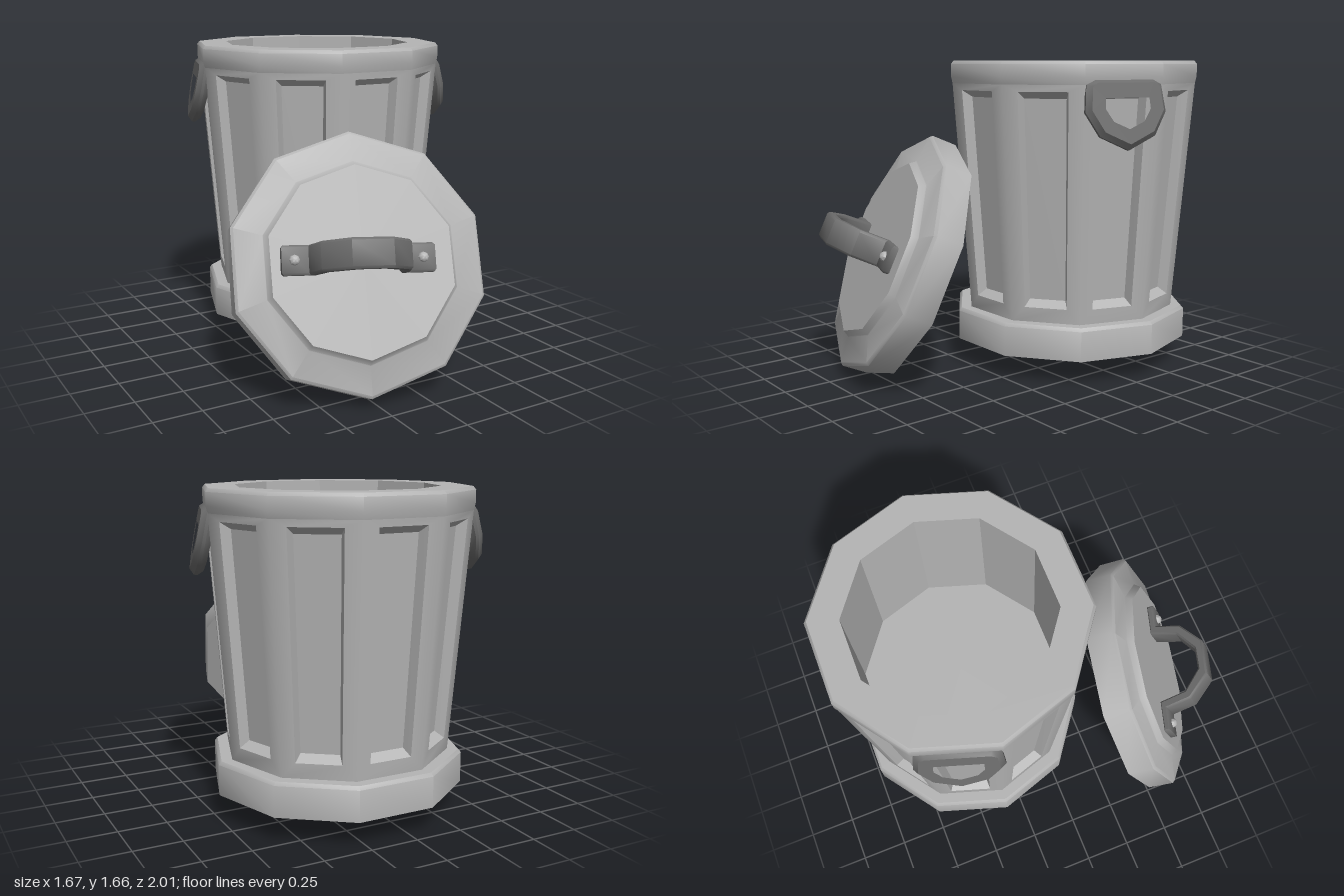
import * as THREE from 'three';
import { toCreasedNormals } from 'three/addons/utils/BufferGeometryUtils.js';

const SIDES = 10;
const SOFT = 0.7; // smooths across neighbouring sides, keeps real edges sharp
const FLAT = 0.1;
const metal = new THREE.MeshStandardMaterial({ color: 0xb4b4b4, side: THREE.DoubleSide });
metal.name = 'galvanised grey';
const dark = new THREE.MeshStandardMaterial({ color: 0x6c6c6c });
dark.name = 'dark handle grey';

const V2 = (p) => p.map(([x, y]) => new THREE.Vector2(x, y));

function add(parent, name, geometry, material, crease = SOFT) {
  const mesh = new THREE.Mesh(toCreasedNormals(geometry, crease), material);
  mesh.name = name;
  parent.add(mesh);
  return mesh;
}

// Ten-sided turned profile with a corner on the x axis
const turned = (pts) => new THREE.LatheGeometry(V2(pts), SIDES, Math.PI / SIDES);

// Tapered wall: every side has a sunken, bevelled panel
function wallGeometry(y0, y1) {
  const pos = [];
  const half = Math.PI / SIDES;
  const radius = (y) => 0.583 + (y - 0.31) * 0.0805;
  const quad = (a, b, c, d) => [a, b, c, a, c, d].forEach((p) => pos.push(...p));
  for (let i = 0; i < SIDES; i++) {
    const m = (2 * i + 1) * half;
    const point = (s, y, depth) => {
      const a = radius(y) * Math.cos(half) - depth;
      const w = radius(y) * Math.sin(half) * 2 * s;
      return [a * Math.cos(m) - w * Math.sin(m), y, a * Math.sin(m) + w * Math.cos(m)];
    };
    const rect = (s, lo, hi, d) => [point(-s, lo, d), point(-s, hi, d), point(s, hi, d), point(s, lo, d)];
    const loops = [rect(0.5, y0, y1, 0), rect(0.307, 0.39, 1.505, 0), rect(0.26, 0.425, 1.47, 0.05)];
    for (let k = 0; k < 2; k++) {
      for (let j = 0; j < 4; j++) {
        const n = (j + 1) % 4;
        quad(loops[k][j], loops[k][n], loops[k + 1][n], loops[k + 1][j]);
      }
    }
    quad(...loops[2]);
  }
  const g = new THREE.BufferGeometry();
  g.setAttribute('position', new THREE.Float32BufferAttribute(pos, 3));
  return g;
}

// Mirrors the right half of an outline, listed from top to bottom
function mirrored(pts) {
  const left = pts.filter(([x]) => x > 0).reverse().map(([x, y]) => [-x, y]);
  return V2([...pts, ...left]);
}

// D-shaped ring with a six-sided section, its middle at the origin
function ringHandleGeometry() {
  const shape = new THREE.Shape(mirrored([[0.16, 0.18], [0.205, 0.15], [0.22, 0.015], [0.15, -0.105], [0, -0.175]]));
  shape.holes.push(new THREE.Path(mirrored([[0.125, 0.105], [0.143, 0.09], [0.147, 0.02], [0.1, -0.055], [0, -0.1]])));
  const g = new THREE.ExtrudeGeometry(shape, {
    depth: 0.016, bevelThickness: 0.027, bevelSize: 0.024, bevelOffset: -0.024, bevelSegments: 1,
  });
  return g.translate(0, 0, -0.008);
}

function createCan() {
  const can = new THREE.Group();
  can.name = 'can';
  can.position.set(0.1, 0, -0.35);
  add(can, 'panelledWall', wallGeometry(0.31, 1.54), metal);
  add(can, 'rim', turned([[0.682, 1.54], [0.69, 1.575], [0.69, 1.64], [0.676, 1.657], [0.52, 1.657]]), metal);
  add(can, 'well', turned([[0.52, 1.657], [0.52, 0.9], [0, 0.9]]), metal, FLAT);
  add(can, 'baseRing', turned([[0.655, 0.137], [0.655, 0.295], [0.64, 0.312], [0.575, 0.312]]), metal);
  // Ring handles on two opposite sides, their lower ends standing away from the wall
  ['leftHandle', 'rightHandle'].forEach((name, i) => {
    const pivot = new THREE.Group();
    pivot.name = name;
    pivot.rotation.y = Math.PI * (0.4 + i);
    const ring = add(pivot, name + 'Ring', ringHandleGeometry(), dark);
    ring.position.set(0, 1.392, 0.672);
    ring.rotation.x = -0.2;
    can.add(pivot);
  });
  return can;
}

function createLid() {
  const lid = new THREE.Group();
  lid.name = 'lid';
  // Local z is the lid's outward direction, local x runs along its handle
  const n = new THREE.Vector3(-0.255, 0.39, 0.885).normalize();
  const w = n.clone().cross(new THREE.Vector3(0.962, -0.047, 0.285)).normalize();
  const h = w.clone().cross(n);
  lid.quaternion.setFromRotationMatrix(new THREE.Matrix4().makeBasis(h, w, n));
  lid.position.set(-0.183, 0.606, 0.53);

  const cover = turned([
    [0, 0], [0.656, 0], [0.656, 0.14], [0.642, 0.154], [0.5, 0.17], [0.497, 0.172], [0.475, 0.205], [0, 0.205],
  ]);
  add(lid, 'lidCover', cover.rotateX(Math.PI / 2).rotateZ(THREE.MathUtils.degToRad(20)), metal);

  // Bent strap handle with riveted feet
  const grip = new THREE.Group();
  grip.name = 'lidHandle';
  grip.position.set(-0.025, 0.008, 0.2);
  const outer = [[0.38, 0], [0.38, 0.04], [0.25, 0.04], [0.22, 0.175], [0.1, 0.285]];
  const inner = [[0.06, 0.238], [0.172, 0.148], [0.205, 0]];
  const flip = (pts) => pts.map(([x, y]) => [-x, y]).reverse();
  const strap = new THREE.ExtrudeGeometry(
    new THREE.Shape(V2([...outer, ...flip(outer), ...flip(inner), ...inner])),
    { depth: 0.12, bevelThickness: 0.012, bevelSize: 0.01, bevelOffset: -0.01, bevelSegments: 1 },
  );
  add(grip, 'strap', strap.translate(0, 0, -0.06).rotateX(Math.PI / 2), dark);
  for (const side of [-1, 1]) {
    const rivet = new THREE.SphereGeometry(0.027, 8, 3, 0, Math.PI * 2, 0, Math.PI / 2).rotateX(Math.PI / 2);
    add(grip, side < 0 ? 'rightRivet' : 'leftRivet', rivet, metal).position.set(side * 0.318, 0, 0.038);
  }
  lid.add(grip);
  return lid;
}

export function createModel() {
  const model = new THREE.Group();
  model.name = 'trashCan';
  model.add(createCan(), createLid());
  return model;
}
